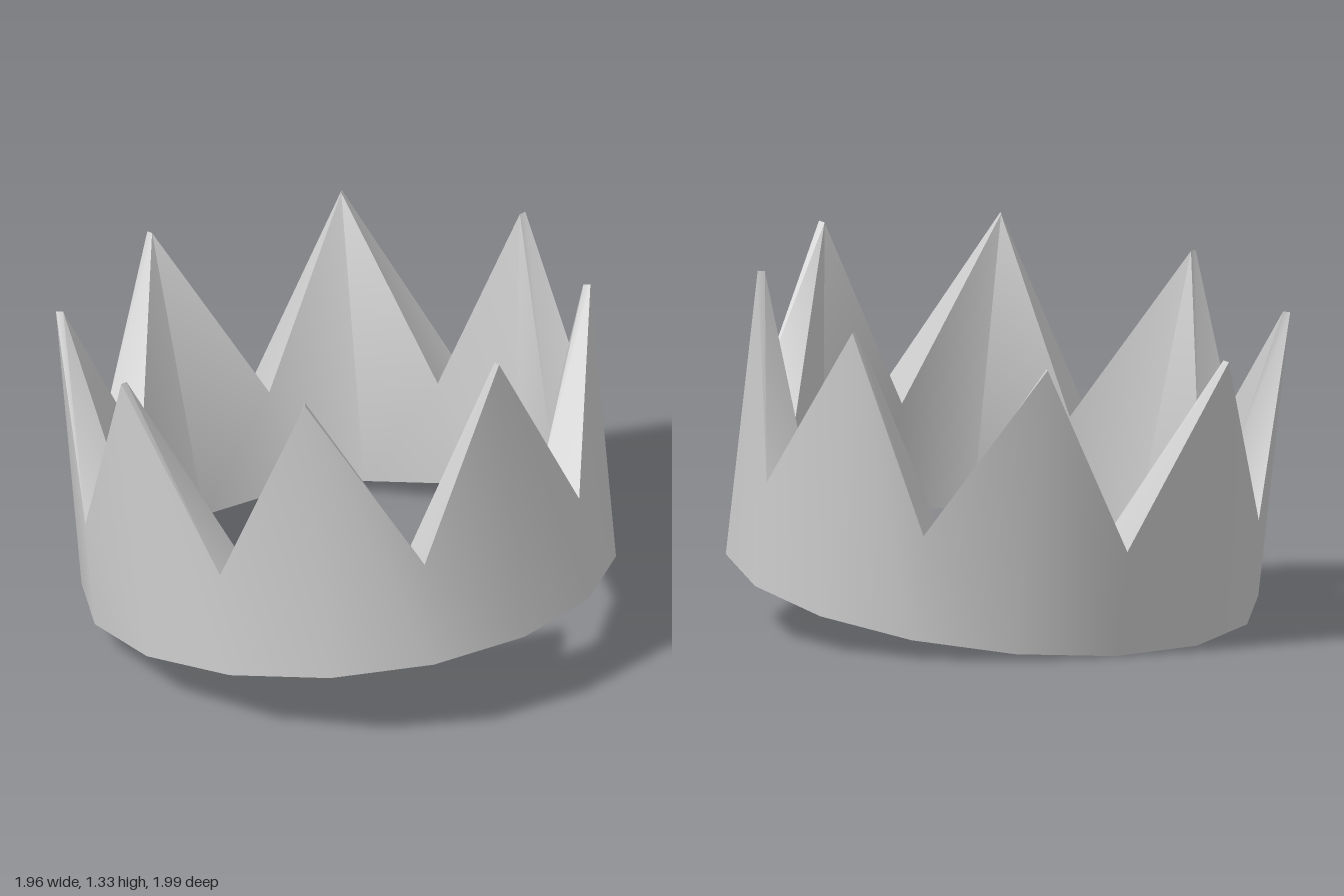
import * as THREE from 'three';
import { toCreasedNormals } from 'three/addons/utils/BufferGeometryUtils.js';

const SIDES = 16;                 // every even corner is a spike, every odd one a notch
const OUTER = 0.935, INNER = 0.77, TIP_INNER = 0.91;
const NOTCH_Y = 0.38, TIP_Y = 1.035;

// The four corners of the wall's cross-section at ring corner i
function section(i) {
  const k = i % SIDES, a = (k / SIDES) * Math.PI * 2;
  const spike = k % 2 === 0;
  const at = (r, y) => [r * Math.cos(a), y, r * Math.sin(a)];
  const top = spike ? TIP_Y : NOTCH_Y;
  return {
    outBase: at(OUTER, 0),
    outTop: at(OUTER, top),
    inTop: at(spike ? TIP_INNER : INNER, top), // wall thins towards the tips
    inBase: at(INNER, 0),
  };
}

function crownGeometry() {
  const pos = [];
  const quad = (a, b, c, d) => pos.push(...a, ...b, ...c, ...a, ...c, ...d);
  for (let i = 0; i < SIDES; i++) {
    const s = section(i), t = section(i + 1);
    quad(s.outBase, s.outTop, t.outTop, t.outBase);   // outer wall
    quad(s.outTop, s.inTop, t.inTop, t.outTop);       // sloping notch face
    quad(s.outBase, t.outBase, t.inBase, s.inBase);   // underside
    // inner wall, folded from the spike's base to the notch
    if (i % 2 === 0) quad(s.inBase, t.inBase, t.inTop, s.inTop);
    else quad(t.inBase, t.inTop, s.inTop, s.inBase);
  }
  const g = new THREE.BufferGeometry();
  g.setAttribute('position', new THREE.Float32BufferAttribute(pos, 3));
  return toCreasedNormals(g, 0.9);
}

export function createModel() {
  const group = new THREE.Group();
  group.name = 'crown';
  const band = new THREE.Mesh(
    crownGeometry(),
    new THREE.MeshStandardMaterial({ color: 0xcccccc })
  );
  band.name = 'spikedBand';
  // Whole ring leans back and to one side, resting on its lowest edge
  const axis = new THREE.Vector3(-0.096, 1, -0.139).normalize();
  band.quaternion.setFromUnitVectors(new THREE.Vector3(0, 1, 0), axis);
  band.position.set(0.05, 0.157, 0.067);
  group.add(band);
  return group;
}
